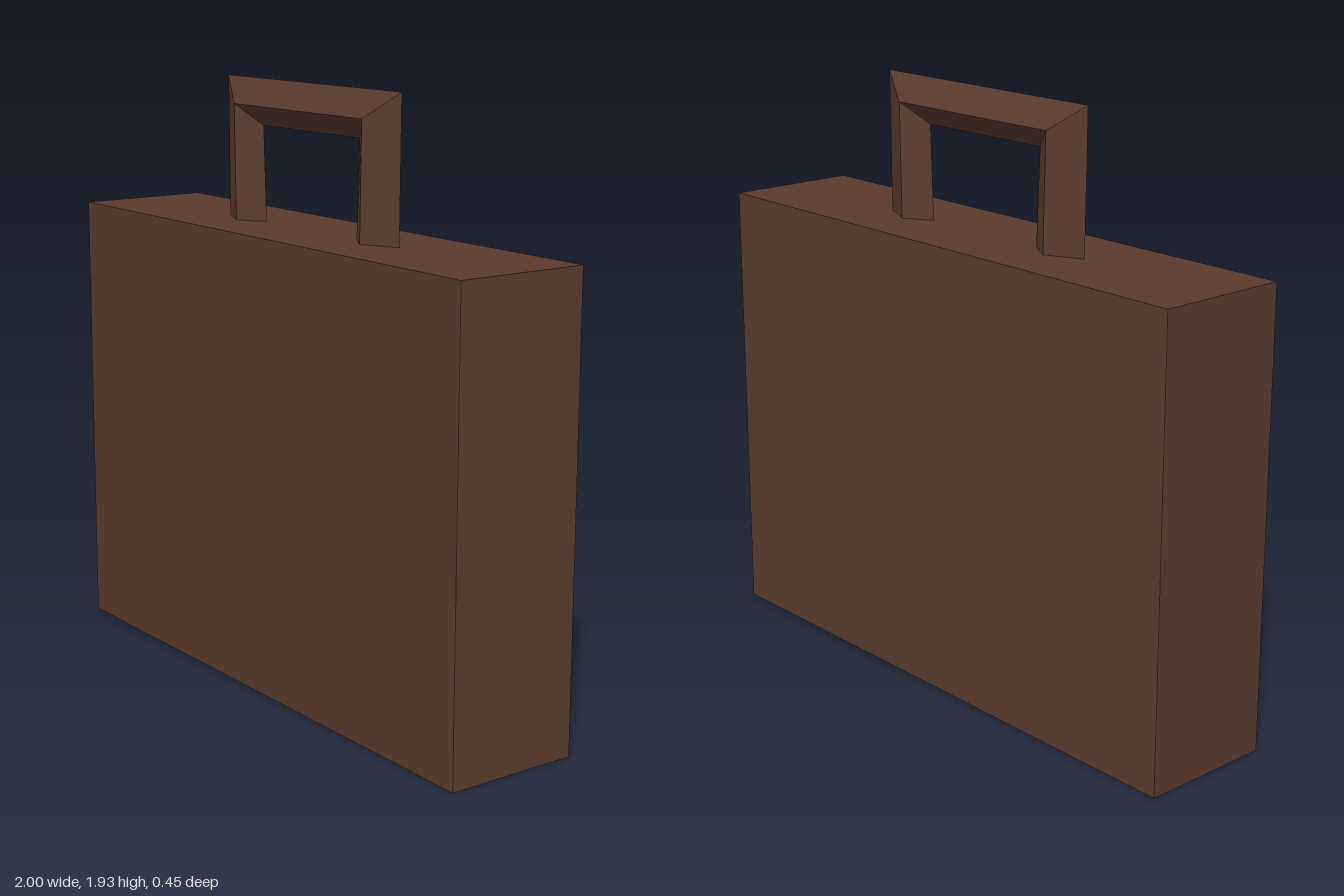
import * as THREE from 'three';

const leather = new THREE.MeshStandardMaterial({ color: 0x5a3b2d, flatShading: true });
leather.name = 'brown leather';

// Diamond-section handle: outer edge, front ridge, inner edge, back ridge at each station
function handleGeometry() {
  const foot = 1.475, depth = 0.057;
  const section = (side, [outer, mid, inner], [yo, ym, yi]) => [
    [side * outer, yo, 0], [side * mid, ym, depth],
    [side * inner, yi, 0], [side * mid, ym, -depth],
  ];
  const footX = [0.45, 0.33, 0.24], footY = [foot, foot, foot];
  const cornerX = [0.455, 0.338, 0.253], cornerY = [1.935, 1.852, 1.785];
  const rings = [
    section(-1, footX, footY), section(-1, cornerX, cornerY),
    section(1, cornerX, cornerY), section(1, footX, footY),
  ];

  const positions = [];
  const quad = (a, b, c, d) => positions.push(...a, ...b, ...c, ...a, ...c, ...d);
  for (let i = 0; i < 3; i++) {
    for (let j = 0; j < 4; j++) {
      const k = (j + 1) % 4;
      quad(rings[i][j], rings[i][k], rings[i + 1][k], rings[i + 1][j]);
    }
  }
  const geometry = new THREE.BufferGeometry();
  geometry.setAttribute('position', new THREE.Float32BufferAttribute(positions, 3));
  geometry.computeVertexNormals();
  return geometry;
}

export function createModel() {
  const group = new THREE.Group();
  group.name = 'briefcase';

  // Plain rectangular case
  const body = new THREE.Mesh(new THREE.BoxGeometry(2, 1.477, 0.448), leather);
  body.name = 'caseBody';
  body.position.y = 1.477 / 2;
  group.add(body);

  // Mitred carrying handle
  const handle = new THREE.Mesh(handleGeometry(), leather);
  handle.name = 'handle';
  group.add(handle);

  return group;
}
